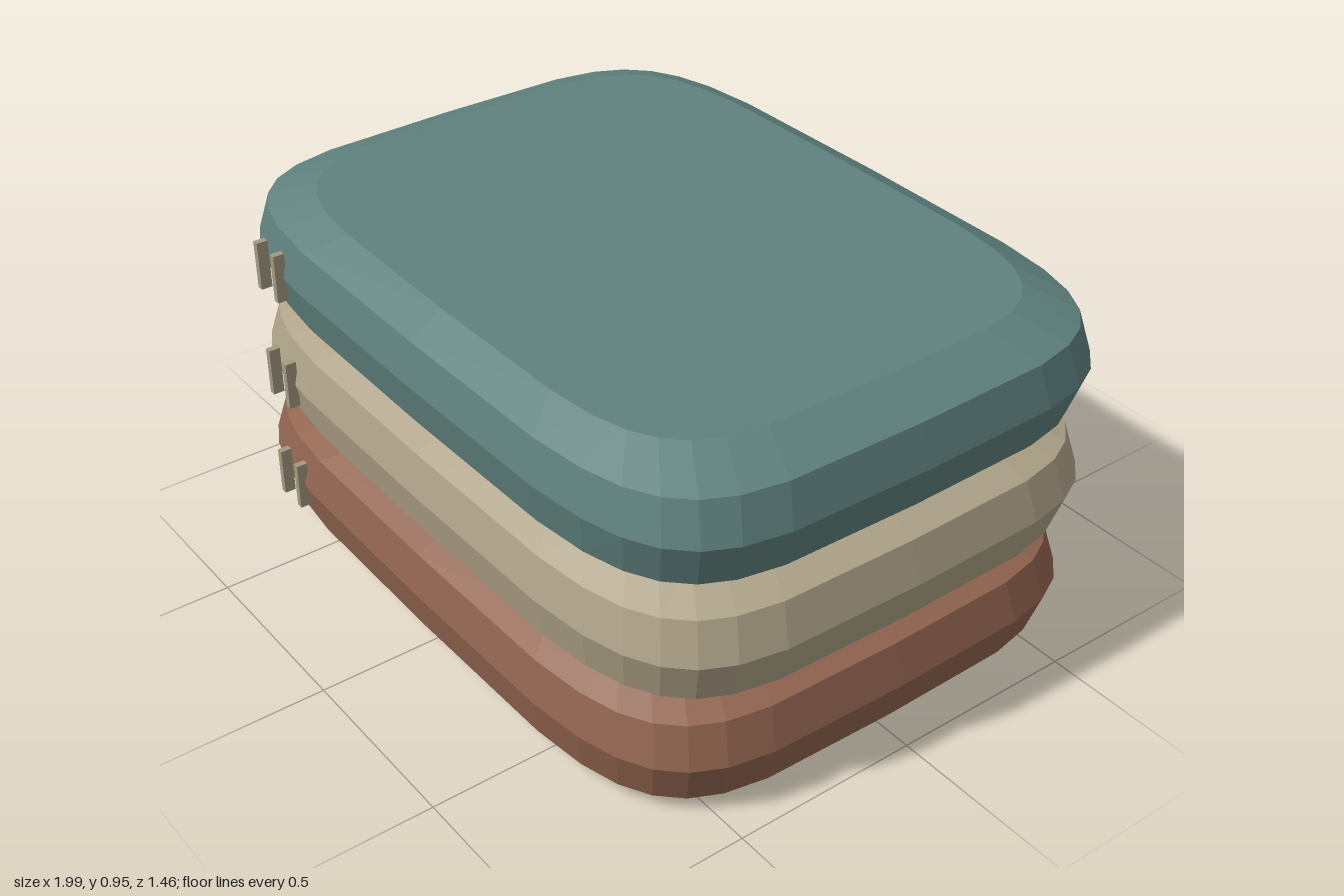
import * as THREE from 'three';

const SEGMENTS = 32;

// Cross-sections of a cushion from bottom to top: [y, half width, half depth]
const PROFILE = [
  [0, 0.82, 0.613],
  [0.045, 0.947, 0.702],
  [0.16, 0.983, 0.727],
  [0.265, 0.95, 0.704],
  [0.315, 0.82, 0.611],
];

// Point on a rounded-rectangle outline
function outline(i, a, b) {
  const t = (i / SEGMENTS) * Math.PI * 2;
  const bend = (v) => (Math.abs(v) < 1e-9 ? 0 : Math.sign(v) * Math.abs(v) ** 0.4);
  return [a * bend(Math.cos(t)), b * bend(Math.sin(t))];
}

function cushionGeometry() {
  const positions = [];
  const index = [];
  for (const [y, a, b] of PROFILE) {
    for (let i = 0; i < SEGMENTS; i++) {
      const [x, z] = outline(i, a, b);
      positions.push(x, y, z);
    }
  }
  // Side bands
  for (let r = 0; r < PROFILE.length - 1; r++) {
    for (let i = 0; i < SEGMENTS; i++) {
      const j = (i + 1) % SEGMENTS;
      const a = r * SEGMENTS + i, b = r * SEGMENTS + j;
      const c = a + SEGMENTS, d = b + SEGMENTS;
      index.push(a, c, b, b, c, d);
    }
  }
  // Flat underside and top
  const bottom = positions.length / 3;
  const last = PROFILE.length - 1;
  positions.push(0, 0, 0, 0, PROFILE[last][0], 0);
  for (let i = 0; i < SEGMENTS; i++) {
    const j = (i + 1) % SEGMENTS;
    index.push(bottom, i, j, bottom + 1, last * SEGMENTS + j, last * SEGMENTS + i);
  }
  const geometry = new THREE.BufferGeometry();
  geometry.setAttribute('position', new THREE.Float32BufferAttribute(positions, 3));
  geometry.setIndex(index);
  geometry.computeVertexNormals();
  return geometry;
}

function material(name, color) {
  const m = new THREE.MeshStandardMaterial({ color, flatShading: true });
  m.name = name;
  return m;
}

export function createModel() {
  const model = new THREE.Group();
  model.name = 'cushionStack';
  const tagMaterial = material('tag linen', 0xa39a80);
  const cushionShape = cushionGeometry();
  const tagShape = new THREE.BoxGeometry(0.018, 0.132, 0.03);

  const layers = [
    ['bottomCushion', -0.017, 0, material('terracotta', 0x91644f)],
    ['middleCushion', 0.01, 0.316, material('sand', 0xafa389)],
    ['topCushion', 0.01, 0.632, material('teal', 0x5f817e)],
  ];

  for (const [name, x, y, fabric] of layers) {
    const cushion = new THREE.Mesh(cushionShape, fabric);
    cushion.name = name;
    cushion.position.set(x, y, -0.004);
    model.add(cushion);

    // Pair of narrow tags on the front
    for (const tagX of [-0.668, -0.583]) {
      const tag = new THREE.Mesh(tagShape, tagMaterial);
      tag.name = name + 'Tag';
      tag.position.set(tagX, y + 0.16, 0.716);
      model.add(tag);
    }
  }
  return model;
}
